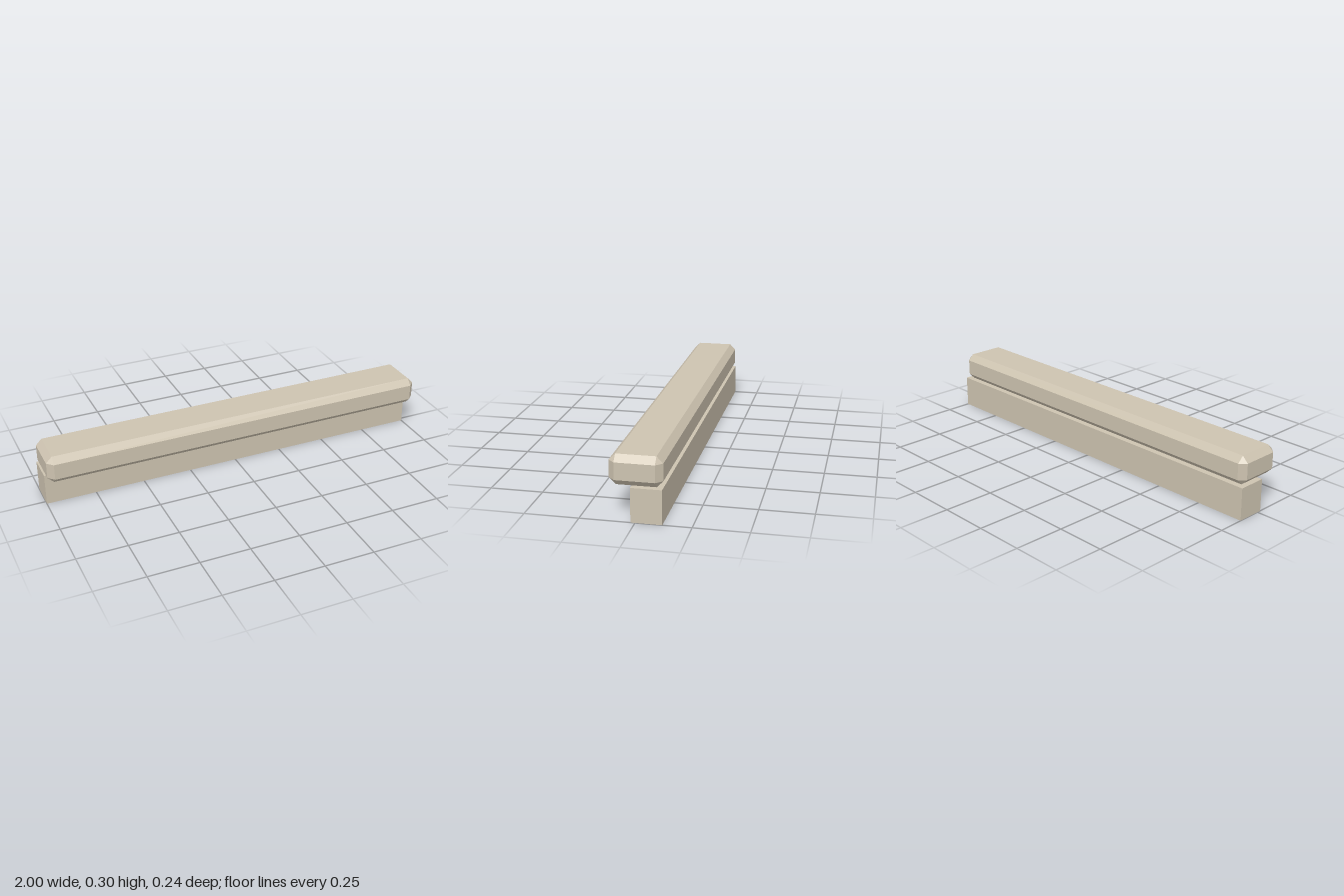
import * as THREE from 'three';
import { ConvexGeometry } from 'three/addons/geometries/ConvexGeometry.js';

// Box with every edge cut at 45 degrees, centred on the origin
function chamferedBox(w, h, d, c) {
  const points = [];
  for (const sx of [-1, 1]) for (const sy of [-1, 1]) for (const sz of [-1, 1]) {
    const x = w / 2, y = h / 2, z = d / 2;
    points.push(
      new THREE.Vector3(sx * x, sy * (y - c), sz * (z - c)),
      new THREE.Vector3(sx * (x - c), sy * y, sz * (z - c)),
      new THREE.Vector3(sx * (x - c), sy * (y - c), sz * z)
    );
  }
  return new ConvexGeometry(points);
}

export function createModel() {
  const group = new THREE.Group();
  group.name = 'ledge';

  const stone = new THREE.MeshStandardMaterial({ color: 0xcdc3b0 });
  stone.name = 'stone';

  // Plain support block, set to the back
  const base = new THREE.Mesh(new THREE.BoxGeometry(2, 0.16, 0.14), stone);
  base.name = 'base';
  base.position.set(0, 0.08, -0.05);

  // Bevelled cap that overhangs the front
  const cap = new THREE.Mesh(chamferedBox(2, 0.14, 0.24, 0.03), stone);
  cap.name = 'cap';
  cap.position.set(0, 0.23, 0);

  group.add(base, cap);
  return group;
}
